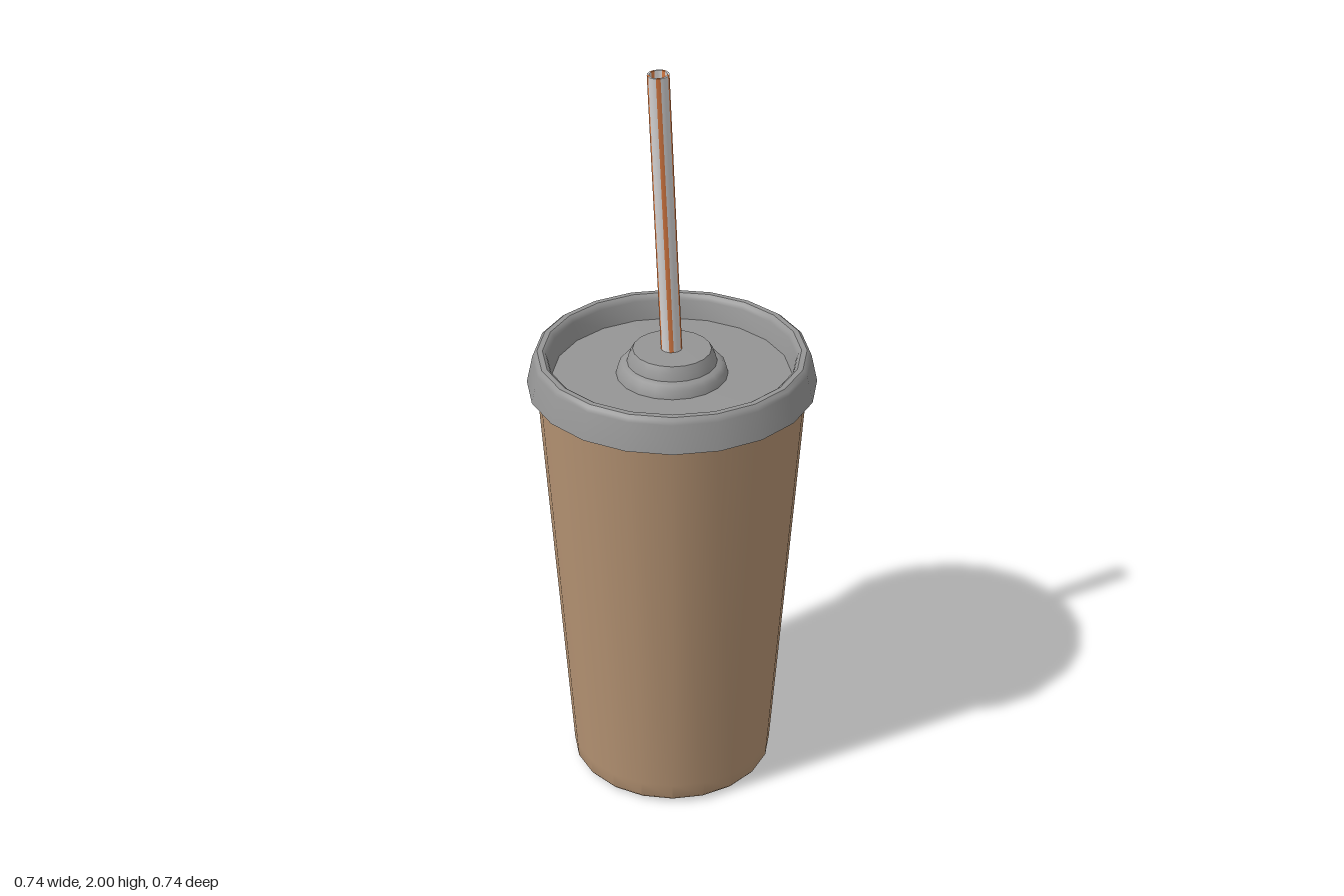
import * as THREE from 'three';
import { toCreasedNormals } from 'three/addons/utils/BufferGeometryUtils.js';

const mat = (name, color) => {
  const m = new THREE.MeshStandardMaterial({ color });
  m.name = name;
  return m;
};

// Turned shape from [radius, height] pairs, with sharp edges kept
function turned(profile, sides, start = 0, crease = 0.6) {
  const points = profile.map(([r, y]) => new THREE.Vector2(r, y));
  return { geo: new THREE.LatheGeometry(points, sides, start), crease };
}

function addPart(group, name, { geo, crease }, material) {
  const mesh = new THREE.Mesh(toCreasedNormals(geo, crease), material);
  mesh.name = name;
  group.add(mesh);
  return mesh;
}

export function createModel() {
  const group = new THREE.Group();
  group.name = 'drinkCup';
  const brown = mat('cardboard brown', 0xb59373);
  const grey = mat('lid grey', 0x959595);
  const white = mat('straw white', 0xd8d6d6);
  const orange = mat('straw orange', 0xd87a42);

  // Tapered cup with a slightly rounded foot
  addPart(group, 'cup', turned([
    [0, 0.008], [0.262, 0.008], [0.27, 0.018], [0.273, 0.06], [0.347, 1.16], [0.33, 1.17],
  ], 20), brown);

  // Lid: flared skirt, rounded rim, sunken floor and stepped centre dome
  addPart(group, 'lid', turned([
    [0.335, 1.16], [0.36, 1.15], [0.37, 1.15], [0.354, 1.222], [0.35, 1.232], [0.342, 1.238],
    [0.328, 1.238], [0.32, 1.232], [0.316, 1.222], [0.305, 1.172],
    [0.143, 1.175], [0.138, 1.195], [0.128, 1.206], [0.115, 1.21],
    [0.11, 1.228], [0.1, 1.245], [0, 1.247],
  ], 20), grey);

  // Hollow striped straw: every third segment is orange
  const bottom = new THREE.Vector3(0.087, 0.002, 0);
  const top = new THREE.Vector3(-0.056, 1.998, 0);
  const length = bottom.distanceTo(top);
  const wall = [[0.022, 0], [0.027, 0], [0.027, length], [0.022, length], [0.022, 0]];
  const tube = turned(wall, 15, THREE.MathUtils.degToRad(6));
  const perSegment = (wall.length - 1) * 6;
  for (let i = 0; i < 15; i++) {
    tube.geo.addGroup(i * perSegment, perSegment, i % 3 === 0 ? 1 : 0);
  }
  const straw = addPart(group, 'straw', tube, [white, orange]);
  straw.position.copy(bottom);
  straw.quaternion.setFromUnitVectors(
    new THREE.Vector3(0, 1, 0), top.clone().sub(bottom).normalize());

  return group;
}
